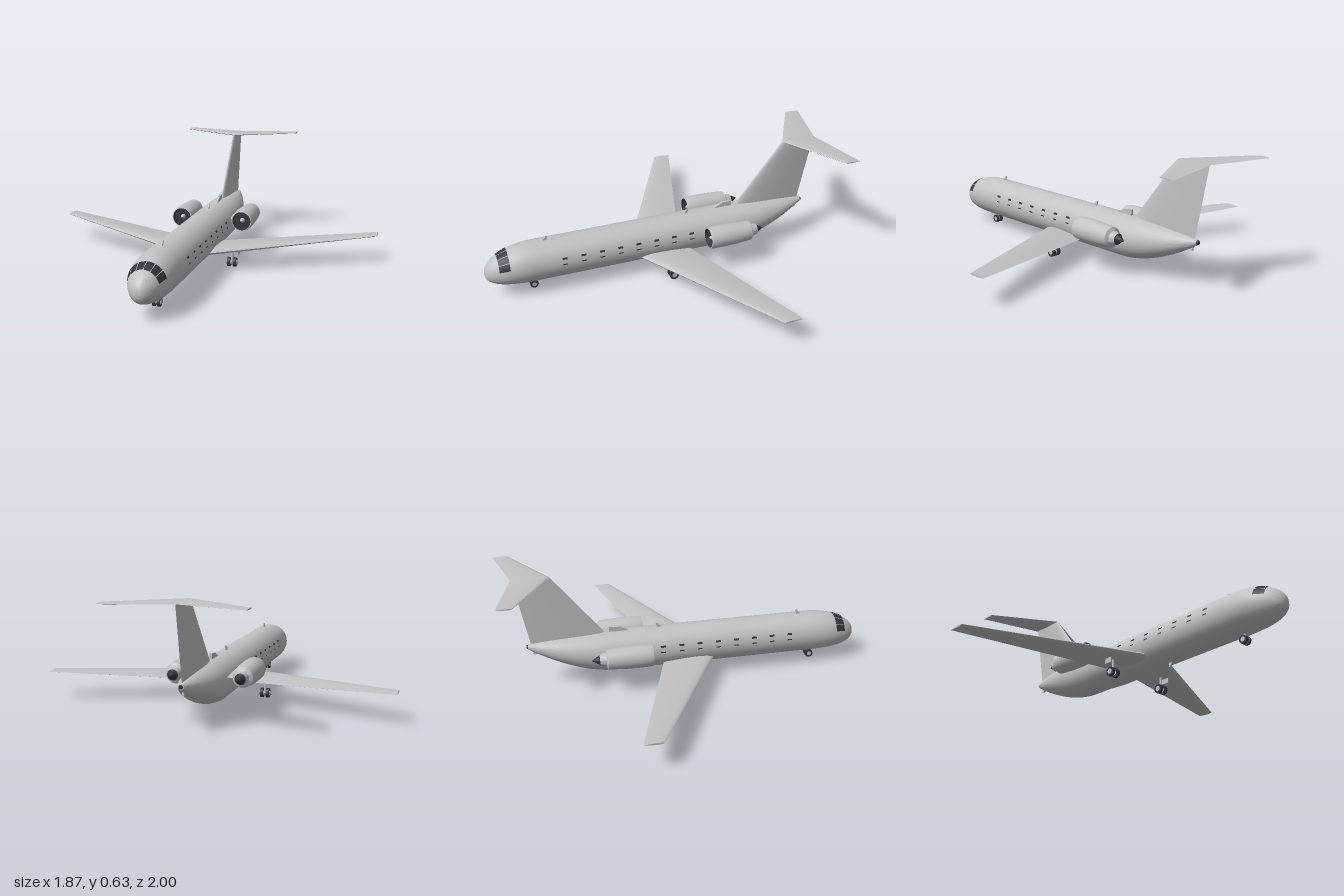
import * as THREE from 'three';
import { toCreasedNormals } from 'three/addons/utils/BufferGeometryUtils.js';

const paint = new THREE.MeshStandardMaterial({ name: 'grey paint', color: 0xc2c2c2 });
const dark = new THREE.MeshStandardMaterial({ name: 'dark glass and rubber', color: 0x33383c });

function add(parent, name, geometry, material, x = 0, y = 0, z = 0) {
  const mesh = new THREE.Mesh(geometry, material);
  mesh.name = name;
  mesh.position.set(x, y, z);
  parent.add(mesh);
  return mesh;
}

// Skins closed rings of [x, y, z] points, caps both ends and faces outward
function loft(rings, crease = 0.6) {
  const n = rings[0].length, tris = [];
  const centre = (r) => [0, 1, 2].map((k) => r.reduce((s, p) => s + p[k], 0) / n);
  const first = rings[0], last = rings[rings.length - 1];
  const c0 = centre(first), c1 = centre(last);
  for (let j = 0; j < n; j++) {
    const k = (j + 1) % n;
    for (let i = 0; i < rings.length - 1; i++) {
      const [a, b, c, d] = [rings[i][j], rings[i][k], rings[i + 1][j], rings[i + 1][k]];
      tris.push([a, b, d], [a, d, c]);
    }
    tris.push([c0, first[k], first[j]], [c1, last[j], last[k]]);
  }
  // Signed volume tells which way the faces point
  const volume = tris.reduce((s, [a, b, c]) => s
    + (a[0] - c0[0]) * ((b[1] - c0[1]) * (c[2] - c0[2]) - (b[2] - c0[2]) * (c[1] - c0[1]))
    + (a[1] - c0[1]) * ((b[2] - c0[2]) * (c[0] - c0[0]) - (b[0] - c0[0]) * (c[2] - c0[2]))
    + (a[2] - c0[2]) * ((b[0] - c0[0]) * (c[1] - c0[1]) - (b[1] - c0[1]) * (c[0] - c0[0])), 0);
  if (volume < 0) tris.forEach((t) => t.reverse());
  const g = new THREE.BufferGeometry();
  g.setAttribute('position', new THREE.Float32BufferAttribute(tris.flat(2), 3));
  return toCreasedNormals(g, crease);
}

// Point on the fuselage skin at station z and angle a
function skin(z, a, lift = 0) {
  const s = THREE.MathUtils.clamp((1 - z) / 0.28, 0, 1);
  const t = THREE.MathUtils.clamp((-0.4 - z) / 0.455, 0, 1);
  const k = Math.sqrt(Math.max(0, 1 - (1 - s) ** 2.2));
  const top = 0.283 - 0.033 * t * t, bottom = 0.059 + 0.163 * t ** 1.7;
  const rx = 0.112 * k * (1 - 0.87 * t * t) + lift;
  const ry = (top - bottom) / 2 * k ** 0.85 + lift;
  const yc = (top + bottom) / 2 - 0.026 * (1 - s) ** 2;
  return [rx * Math.cos(a), yc + ry * Math.sin(a), z];
}

function fuselageGeometry() {
  const stations = [];
  for (let i = 0; i <= 18; i++) stations.push(1 - 0.28 * (i / 18) ** 2);
  for (let i = 0; i <= 18; i++) stations.push(-0.4 - 0.455 * i / 18);
  return loft(stations.map((z) =>
    Array.from({ length: 40 }, (_, j) => skin(z, j / 40 * Math.PI * 2))), 0.7);
}

// Thin pane following the fuselage skin, angles in degrees
function pane(z0, z1, a0, a1) {
  const pos = [], idx = [], n = 4;
  for (let i = 0; i <= n; i++) {
    for (let j = 0; j <= n; j++) {
      const a = THREE.MathUtils.degToRad(a0 + (a1 - a0) * j / n);
      pos.push(...skin(z0 + (z1 - z0) * i / n, a, 0.0025));
      if (i < n && j < n) {
        const p = i * (n + 1) + j, q = p + n + 1;
        idx.push(p, p + 1, q, p + 1, q + 1, q);
      }
    }
  }
  const g = new THREE.BufferGeometry();
  g.setAttribute('position', new THREE.Float32BufferAttribute(pos, 3));
  g.setIndex(idx);
  g.computeVertexNormals();
  return g;
}

// Aerofoil ring: offset from the chord line is mapped by place(offset, z)
function foil(lead, trail, thick, place) {
  return Array.from({ length: 24 }, (_, j) => {
    const a = j / 24 * Math.PI * 2, c = (1 - Math.cos(a)) / 2;
    const half = 5 * thick * (0.2969 * Math.sqrt(c) - 0.126 * c - 0.3516 * c * c + 0.2843 * c ** 3 - 0.1015 * c ** 4);
    return place(Math.sign(Math.sin(a)) * half, lead + (trail - lead) * c);
  });
}
const flat = (x, y, lead, trail, thick) => foil(lead, trail, thick, (o, z) => [x, y + o, z]);
const upright = (y, lead, trail, thick) => foil(lead, trail, thick, (o, z) => [o, y, z]);

// Turned part whose profile [radius, distance aft] runs along -z
const turned = (points) => new THREE.LatheGeometry(
  points.map(([r, d]) => new THREE.Vector2(r, d)), 32).rotateX(-Math.PI / 2);

// Thin upright blade from [z, y] corners
function blade(corners, width) {
  return loft([-width / 2, width / 2].map((x) => corners.map(([z, y]) => [x, y, z])), 0.1);
}

function engine(side) {
  const g = new THREE.Group();
  g.name = side > 0 ? 'leftEngine' : 'rightEngine';
  g.position.set(side * 0.178, 0.207, -0.207);
  add(g, 'nacelle', toCreasedNormals(turned([[0.053, 0], [0.058, 0.001], [0.061, 0.02], [0.062, 0.08],
    [0.06, 0.16], [0.054, 0.242], [0.036, 0.252], [0.034, 0.262], [0.029, 0.285]]), 0.6), paint);
  add(g, 'intakeDuct', turned([[0.048, 0.03], [0.053, 0]]), dark);
  add(g, 'fan', new THREE.CircleGeometry(0.05, 32), dark, 0, 0, -0.025);
  add(g, 'fanSpinner', turned([[0, 0.003], [0.008, 0.01], [0.015, 0.026]].reverse()).scale(1, 1, 1), paint)
    .material = spinnerPaint;
  add(g, 'exhaustCone', turned([[0.029, 0.285], [0.022, 0.287], [0.02, 0.295], [0, 0.327]]), dark);
  return g;
}
const spinnerPaint = new THREE.MeshStandardMaterial({ name: 'spinner grey', color: 0xc2c2c2, side: THREE.DoubleSide });

// Pair of wheels with pale hubs on one leg
function gear(name, x, z, radius, spread, width, legTop) {
  const g = new THREE.Group();
  g.name = name;
  g.position.set(x, radius, z);
  for (const s of [-1, 1]) {
    add(g, 'tyre', new THREE.CylinderGeometry(radius, radius, width, 24).rotateZ(Math.PI / 2), dark, s * spread);
    add(g, 'hub', new THREE.CylinderGeometry(radius * 0.55, radius * 0.55, width + 0.003, 20).rotateZ(Math.PI / 2), paint, s * spread);
  }
  add(g, 'axle', new THREE.CylinderGeometry(0.005, 0.005, spread * 2, 10).rotateZ(Math.PI / 2), paint);
  const h = legTop - radius;
  add(g, 'leg', new THREE.CylinderGeometry(0.007, 0.007, h, 12), paint, 0, h / 2);
  return g;
}

export function createModel() {
  const model = new THREE.Group();
  model.name = 'airliner';

  add(model, 'fuselage', fuselageGeometry(), paint);
  add(model, 'tailExhaust', new THREE.CylinderGeometry(0.009, 0.012, 0.012, 16).rotateX(-Math.PI / 2), dark, 0, 0.236, -0.857);

  // Cockpit glazing and two rows of cabin windows
  for (let i = 0; i < 6; i++) add(model, 'cockpitWindow', pane(0.872, 0.928, 16 + i * 25, 39 + i * 25), dark);
  for (let i = 0; i < 8; i++) {
    const z = 0.585 - i * 0.103;
    for (const [angle, half, len] of [[20.5, 2.8, 0.014], [4.5, 1.6, 0.013]]) {
      add(model, 'leftCabinWindow', pane(z - len, z + len, angle - half, angle + half), dark);
      add(model, 'rightCabinWindow', pane(z - len, z + len, 180 - angle - half, 180 - angle + half), dark);
    }
  }

  // Fin and blades on the centre line
  add(model, 'fin', loft([upright(0.22, -0.39, -0.832, 0.036), upright(0.628, -0.715, -0.912, 0.02)]), paint);
  add(model, 'dorsalIntake', blade([[-0.3, 0.278], [-0.36, 0.308], [-0.415, 0.312], [-0.415, 0.278]], 0.014), paint);
  for (const z of [0.67, -0.135]) {
    add(model, 'topAntenna', blade([[z + 0.008, 0.28], [z - 0.012, 0.307], [z - 0.022, 0.307], [z - 0.014, 0.28]], 0.007), paint);
  }
  add(model, 'bellyAntenna', blade([[0.262, 0.062], [0.245, 0.036], [0.235, 0.036], [0.238, 0.062]], 0.007), paint);
  add(model, 'tailSkid', blade([[-0.795, 0.2], [-0.815, 0.188], [-0.828, 0.188], [-0.828, 0.215]], 0.01), paint);

  // Mirrored parts
  for (const s of [1, -1]) {
    const label = s > 0 ? 'left' : 'right';
    add(model, label + 'Wing', loft([flat(s * 0.02, 0.103, 0.19, -0.11, 0.04),
      flat(s * 0.11, 0.11, 0.143, -0.137, 0.038), flat(s * 0.935, 0.155, -0.29, -0.39, 0.01)]), paint);
    add(model, label + 'Tailplane', loft([flat(0, 0.627, -0.715, -0.916, 0.016),
      flat(s * 0.353, 0.625, -0.918, -1, 0.007)]), paint);
    add(model, label + 'Pylon', loft([flat(s * 0.08, 0.207, -0.25, -0.475, 0.022),
      flat(s * 0.135, 0.207, -0.25, -0.475, 0.022)]), paint);
    model.add(engine(s));
    model.add(gear(label + 'MainGear', s * 0.179, 0, 0.026, 0.0165, 0.016, 0.11));
    add(model, label + 'GearDoor', new THREE.BoxGeometry(0.004, 0.035, 0.045), paint, s * 0.214, 0.088, 0);
  }
  model.add(gear('noseGear', 0, 0.742, 0.0225, 0.0125, 0.013, 0.075));
  model.children.find((c) => c.name === 'noseGear').position.y = 0.026;
  return model;
}
